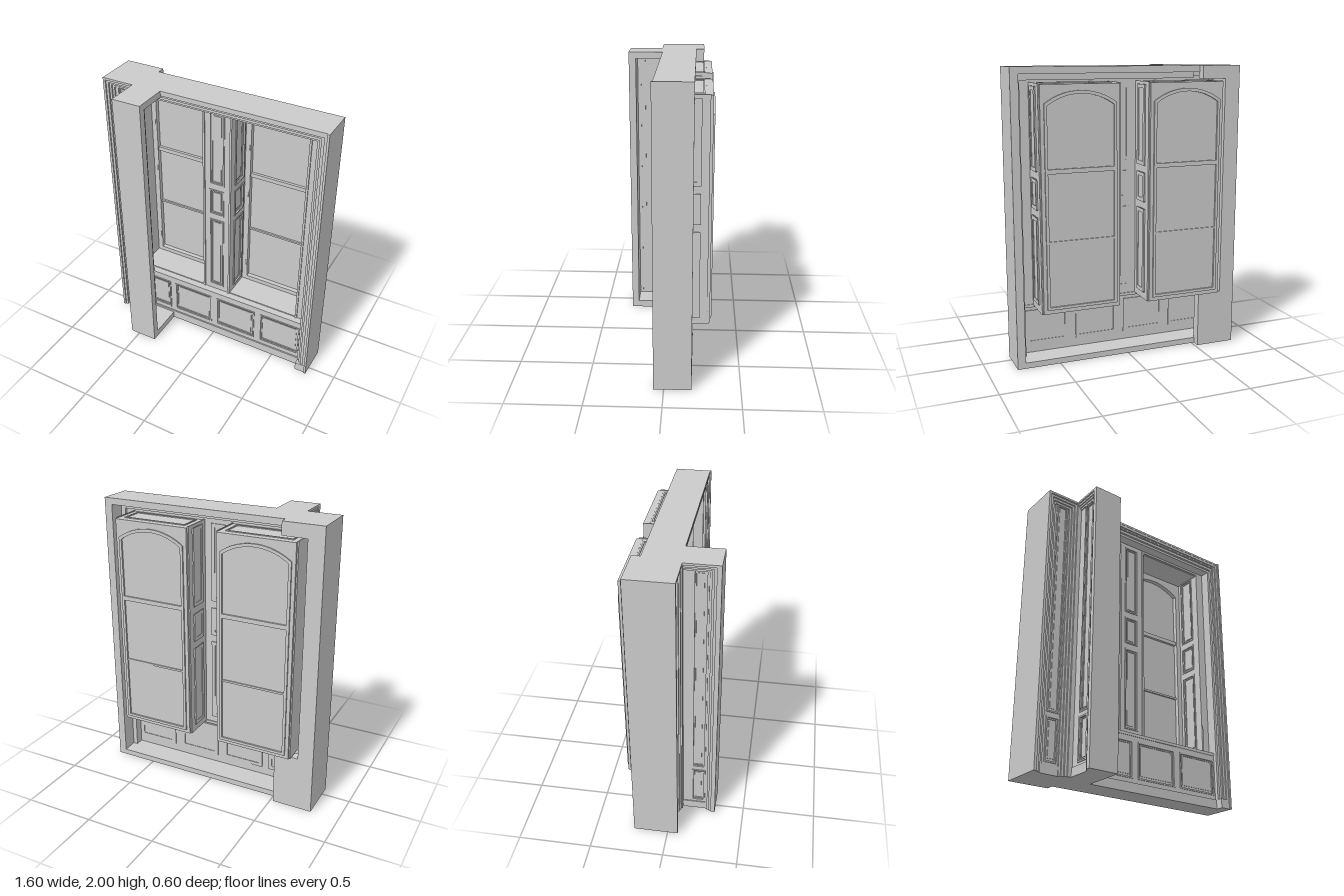
import * as THREE from 'three';

const mat = new THREE.MeshStandardMaterial({ color: 0xcccccc, flatShading: true });

function add(parent, name, geo) {
  const m = new THREE.Mesh(geo, mat);
  m.name = name;
  parent.add(m);
  return m;
}

// box given by its two corners
function slab(parent, name, x0, x1, y0, y1, z0, z1) {
  const m = add(parent, name, new THREE.BoxGeometry(x1 - x0, y1 - y0, z1 - z0));
  m.position.set((x0 + x1) / 2, (y0 + y1) / 2, (z0 + z1) / 2);
  return m;
}

function trace(p, [x0, y0, x1, y1], inset = 0) {
  p.moveTo(x0 + inset, y0 + inset);
  p.lineTo(x1 - inset, y0 + inset);
  p.lineTo(x1 - inset, y1 - inset);
  p.lineTo(x0 + inset, y1 - inset);
  p.closePath();
  return p;
}

function extrude(shape, z0, z1) {
  const g = new THREE.ExtrudeGeometry(shape, { depth: z1 - z0, bevelEnabled: false, curveSegments: 16 });
  return g.translate(0, 0, z0);
}

// rectangular ring, used for stepped mouldings
function ring(parent, name, rect, inset, width, z0, z1) {
  const s = trace(new THREE.Shape(), rect, inset);
  s.holes.push(trace(new THREE.Path(), rect, inset + width));
  return add(parent, name, extrude(s, z0, z1));
}

// thin panelled board in the xy plane, front face at z = 0, relief on both sides
function panelling(parent, name, rect, panels, openings = []) {
  const g = new THREE.Group();
  g.name = name;
  const s = trace(new THREE.Shape(), rect);
  for (const r of [...panels, ...openings]) s.holes.push(trace(new THREE.Path(), r));
  add(g, 'board', extrude(s, -0.008, 0));
  for (const r of panels) {
    ring(g, 'panelMoulding', r, -0.004, 0.010, -0.004, 0.006);
    ring(g, 'panelInnerMoulding', r, 0.006, 0.008, -0.012, -0.005);
    ring(g, 'panelGroove', r, 0, 0.026, -0.017, -0.011);
    const [x0, y0, x1, y1] = r;
    slab(g, 'panelField', x0 + 0.024, x1 - 0.024, y0 + 0.024, y1 - 0.024, -0.013, -0.007);
  }
  parent.add(g);
  return g;
}

// window outline with a shallow arched head
function archPath(p, hw, y0, spring, top) {
  p.moveTo(-hw, y0);
  p.lineTo(hw, y0);
  p.lineTo(hw, spring);
  const rise = top - spring, R = (hw * hw + rise * rise) / (2 * rise);
  const a = Math.asin(hw / R);
  p.absarc(0, top - R, R, Math.PI / 2 - a, Math.PI / 2 + a, false);
  p.closePath();
  return p;
}

const rows = [[0.45, 1.04], [1.09, 1.29], [1.34, 1.88]];

// window niche: reveals, floor, ceiling and arched casement
function windowNiche(parent, cx) {
  const g = new THREE.Group();
  g.name = 'windowNiche';
  g.position.x = cx;
  const hw = 0.267;
  for (const s of [-1, 1]) {
    const u = s < 0 ? [0.05, 0.275] : [-0.275, -0.05];
    const plain = cx < 0 && s < 0;
    const holes = plain ? [] : rows.map(([a, b]) => [u[0] + 0.05, a, u[1] - 0.05, b]);
    const p = panelling(g, 'reveal', [u[0], 0.4, u[1], 1.9], holes);
    p.rotation.y = -s * Math.PI / 2;
    p.position.x = s * hw;
  }
  slab(g, 'nicheFloor', -hw, hw, 0.402, 0.412, -0.285, -0.045);
  slab(g, 'nicheCeiling', -hw, hw, 1.882, 1.894, -0.285, -0.045);
  ring(g, 'ceilingMoulding', [-0.23, 0.08, 0.23, 0.24], 0, 0.01, 1.89, 1.9).rotation.x = -Math.PI / 2;

  const frame = trace(new THREE.Shape(), [-hw, 0.41, hw, 1.895]);
  frame.holes.push(archPath(new THREE.Path(), 0.235, 0.44, 1.77, 1.845));
  add(g, 'windowFrame', extrude(frame, -0.292, -0.25));
  const bead = archPath(new THREE.Shape(), 0.243, 0.432, 1.775, 1.855);
  bead.holes.push(archPath(new THREE.Path(), 0.224, 0.451, 1.762, 1.834));
  add(g, 'sashBead', extrude(bead, -0.302, -0.243));
  add(g, 'glass', extrude(archPath(new THREE.Shape(), 0.238, 0.436, 1.771, 1.848), -0.29, -0.275));
  slab(g, 'transom', -0.235, 0.235, 1.333, 1.363, -0.302, -0.255);
  slab(g, 'glazingBar', -0.235, 0.235, 0.878, 0.892, -0.298, -0.262);
  for (const y of [0.58, 1.19, 1.57]) {
    const h = add(g, 'hinge', new THREE.CylinderGeometry(0.004, 0.004, 0.04, 8));
    h.position.set(-0.233, y, -0.241);
  }
  parent.add(g);
}

export function createModel() {
  const root = new THREE.Group();
  root.name = 'panelledWindowSeat';

  // outer wall shell, open at the back
  slab(root, 'topWall', -0.8, 0.8, 1.955, 2, -0.18, 0.05);
  slab(root, 'bottomWall', -0.8, 0.8, 0, 0.04, -0.18, 0);
  slab(root, 'rightEndWall', 0.745, 0.8, 0, 2, -0.18, 0.05);
  slab(root, 'leftEndWall', -0.8, -0.69, 0, 2, -0.235, 0);
  slab(root, 'backPierHead', -0.69, -0.52, 1.91, 2, -0.235, -0.17);
  slab(root, 'backPierBase', -0.69, -0.52, 0, 0.39, -0.235, -0.17);

  // stepped moulding along the head and end of the alcove
  const steps = [[0.8, 0.785, 0.068], [0.785, 0.765, 0.058], [0.765, 0.75, 0.048], [0.75, 0.73, 0.04], [0.73, 0.712, 0.025]];
  for (const [a, b, z] of steps) {
    slab(root, 'endMoulding', b, a, 0, 1.2 + a, -0.07, z);
    slab(root, 'headMoulding', -0.53, a, 1.2 + b, 1.2 + a, -0.07, Math.min(z, 0.06));
  }
  slab(root, 'endPlinth', 0.712, 0.79, 0, 0.065, 0, 0.06);

  // alcove back with window openings and the panelled pier
  const pier = rows.map(([a, b]) => [-0.055, a, 0.05, b]);
  panelling(root, 'alcoveBack', [-0.7, 0.39, 0.73, 1.93], pier,
    [[0.108, 0.4, 0.642, 1.89], [-0.642, 0.4, -0.108, 1.89]]).position.z = -0.045;
  for (const cx of [-0.375, 0.375]) {
    windowNiche(root, cx);
    ring(root, 'openingTrim', [cx - 0.267, 0.4, cx + 0.267, 1.89], -0.014, 0.014, -0.05, -0.037);
  }

  // seat and panelled apron
  slab(root, 'seat', -0.7, 0.72, 0.385, 0.405, -0.06, 0.005);
  const apron = [-0.54, -0.18, 0.18, 0.545].map(x => [x - 0.155, 0.1, x + 0.155, 0.348]);
  panelling(root, 'apron', [-0.71, 0.03, 0.73, 0.39], apron);
  slab(root, 'baseboard', -0.53, 0.712, 0, 0.065, -0.008, 0.01);

  // recessed panelled left bay framed by stepped mouldings
  panelling(root, 'leftBay', [-0.8, 0, -0.53, 2],
    [[-0.71, 0.08, -0.622, 0.365], [-0.71, 0.4, -0.622, 1.945]]).position.z = 0.03;
  for (const [i, z] of [[0, 0.07], [0.018, 0.061], [0.034, 0.05], [0.05, 0.04]]) {
    slab(root, 'bayEdgeMoulding', -0.8 + i, -0.782 + i, 0, 2 - i, 0, z);
    slab(root, 'bayCornerMoulding', -0.566 - i, -0.53, 0, 2 - i, 0, z);
    slab(root, 'bayHeadMoulding', -0.8 + i, -0.53, 1.985 - i, 2 - i, 0, z);
  }
  slab(root, 'bayPlinth', -0.75, -0.6, 0, 0.06, 0, 0.036);

  // partition, panelled towards the bay and open towards the alcove
  slab(root, 'partitionFront', -0.53, -0.36, 0, 2, 0.25, 0.3);
  slab(root, 'partitionTop', -0.53, -0.36, 1.955, 2, 0.05, 0.25);
  slab(root, 'partitionBottom', -0.53, -0.36, 0, 0.05, 0, 0.25);
  const skin = panelling(root, 'partitionPanelling', [0.03, 0, 0.29, 2],
    [[0.135, 0.08, 0.22, 0.365], [0.135, 0.4, 0.22, 1.945]]);
  skin.rotation.y = -Math.PI / 2;
  skin.position.x = -0.535;
  for (const [i, x] of [[0, -0.567], [0.016, -0.559], [0.03, -0.55], [0.044, -0.542]]) {
    slab(root, 'partitionEdgeMoulding', x, -0.525, 0, 2 - i, 0.27 - i, 0.3 - i);
    slab(root, 'partitionHeadMoulding', x, -0.525, 1.985 - i, 2 - i, 0.06, 0.3 - i);
  }
  slab(root, 'partitionPlinth', -0.541, -0.53, 0, 0.06, 0.06, 0.29);
  return root;
}
